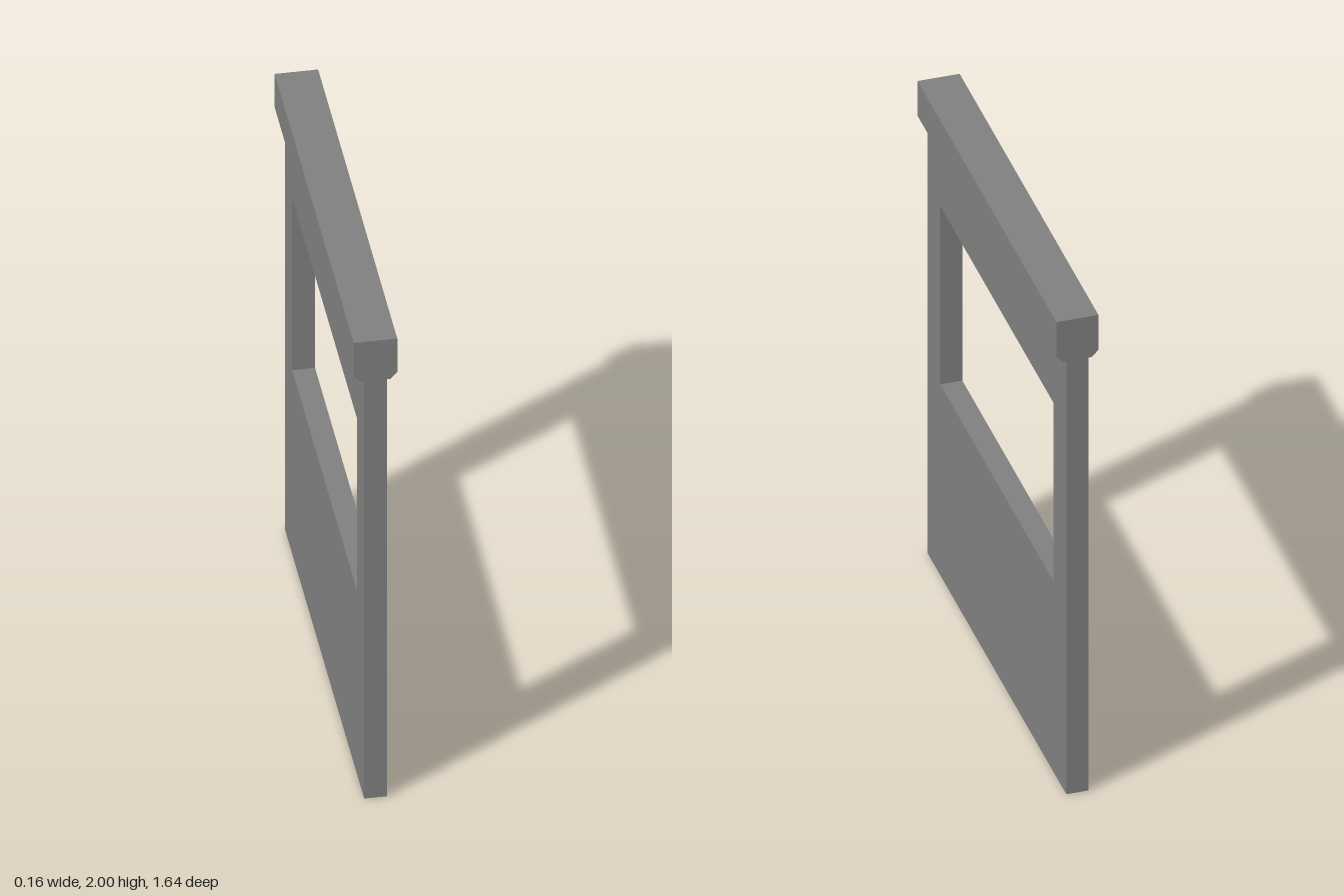
import * as THREE from 'three';

const HALF_LENGTH = 0.818, HALF_WALL = 0.041;
const WINDOW = { half: 0.669, bottom: 0.805, top: 1.558 };
const CAP_BOTTOM = 1.827;

const path = (points) => points.map(([x, y]) => new THREE.Vector2(x, y));
const rect = (half, bottom, top) => path([[-half, bottom], [half, bottom], [half, top], [-half, top]]);

// Extrusion centred on its depth
function slab(shape, depth) {
  return new THREE.ExtrudeGeometry(shape, { depth, bevelEnabled: false }).translate(0, 0, -depth / 2);
}

// Removes the level faces at height y that lie within the wall's thickness
function openAt(geometry, y) {
  const source = geometry.getAttribute('position');
  const kept = [];
  for (let i = 0; i < source.count; i += 3) {
    const corners = [i, i + 1, i + 2];
    const inOpening = corners.every((k) =>
      Math.abs(source.getY(k) - y) < 1e-4 && Math.abs(source.getX(k)) < HALF_WALL + 1e-4);
    if (!inOpening) corners.forEach((k) => kept.push(source.getX(k), source.getY(k), source.getZ(k)));
  }
  const result = new THREE.BufferGeometry();
  result.setAttribute('position', new THREE.Float32BufferAttribute(kept, 3));
  result.computeVertexNormals();
  return result;
}

export function createModel() {
  const group = new THREE.Group();
  group.name = 'windowWall';
  const material = new THREE.MeshStandardMaterial({
    color: 0x7f7f7f, flatShading: true, side: THREE.DoubleSide,
  });
  const add = (name, geometry) => {
    const mesh = new THREE.Mesh(geometry, material);
    mesh.name = name;
    group.add(mesh);
  };

  // Hollow wall panel with a framed window opening, open at the foot and under the cap
  const panel = new THREE.Shape(rect(HALF_LENGTH, 0, CAP_BOTTOM));
  panel.holes.push(new THREE.Path(rect(WINDOW.half, WINDOW.bottom, WINDOW.top).reverse()));
  const wall = slab(panel, HALF_WALL * 2).rotateY(Math.PI / 2);
  add('wallPanel', openAt(openAt(wall, 0), CAP_BOTTOM));

  // Top beam with chamfered lower edges
  const side = [[HALF_WALL, CAP_BOTTOM], [0.054, CAP_BOTTOM], [0.078, 1.853], [0.078, 2]];
  const mirrored = side.map(([x, y]) => [-x, y]).reverse();
  const beam = slab(new THREE.Shape(path([...side, ...mirrored])), HALF_LENGTH * 2);
  add('topBeam', openAt(beam, CAP_BOTTOM));

  return group;
}
